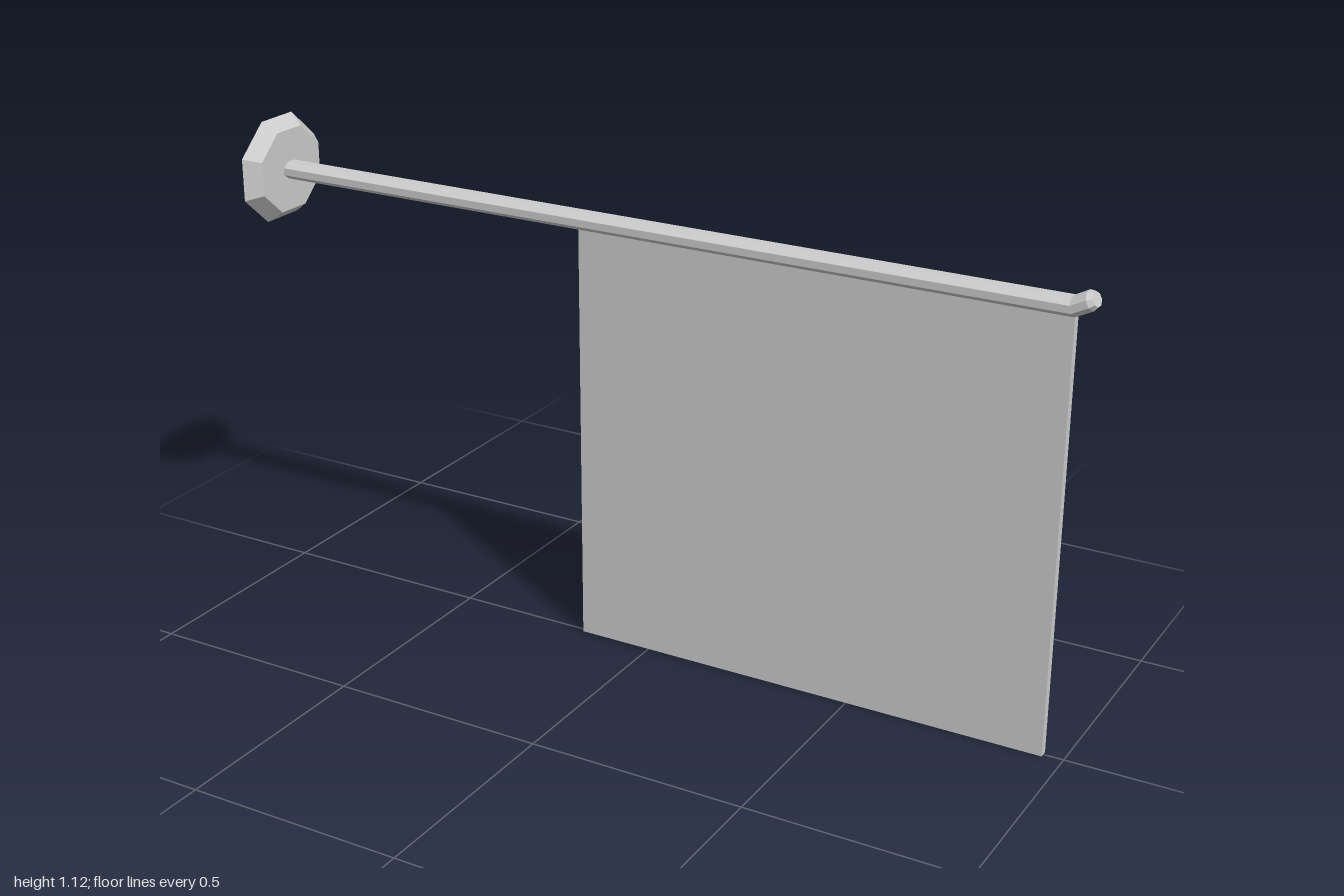
import * as THREE from 'three';

const material = new THREE.MeshStandardMaterial({ color: 0xcccccc, flatShading: true });

// Unit octagonal prism lying along x, flat sides facing up, down, front and back
function octagonPrism(endScale, segments) {
  const r = 1 / Math.cos(Math.PI / 8);
  return new THREE.CylinderGeometry(r * endScale, r, 1, 8, segments)
    .rotateY(Math.PI / 8)
    .rotateZ(-Math.PI / 2);
}

function addPart(group, name, geometry) {
  const flat = geometry.toNonIndexed();
  flat.computeVertexNormals();
  const mesh = new THREE.Mesh(flat, material);
  mesh.name = name;
  group.add(mesh);
}

export function createModel() {
  const group = new THREE.Group();
  group.name = 'hangingBanner';

  // Bevelled wall plate
  addPart(group, 'wallPlate',
    octagonPrism(0.79, 1).scale(0.035, 0.12, 0.132).translate(-0.9825, 1, 0));

  // Pole: each ring is [x, y, scale, tilt]; the last ones form the upturned tip
  const rings = [
    [-0.97, 1, 1, 0],
    [0.95, 1, 1, 0.22],
    [0.983, 1.017, 1, 0.45],
    [0.993, 1.021, 0.75, 0.45],
  ];
  const pole = octagonPrism(1, rings.length - 1);
  const p = pole.attributes.position;
  for (let i = 0; i < p.count; i++) {
    const [x, y, s, tilt] = rings[Math.round((p.getX(i) + 0.5) * (rings.length - 1))];
    const v = p.getY(i) * 0.02 * s;
    p.setXYZ(i, x - v * Math.sin(tilt), y + v * Math.cos(tilt), p.getZ(i) * 0.028 * s);
  }
  addPart(group, 'pole', pole);

  // Cloth panel hanging from the pole
  addPart(group, 'banner',
    new THREE.BoxGeometry(1.13, 0.99, 0.02).translate(0.39, 0.495, 0));

  return group;
}
